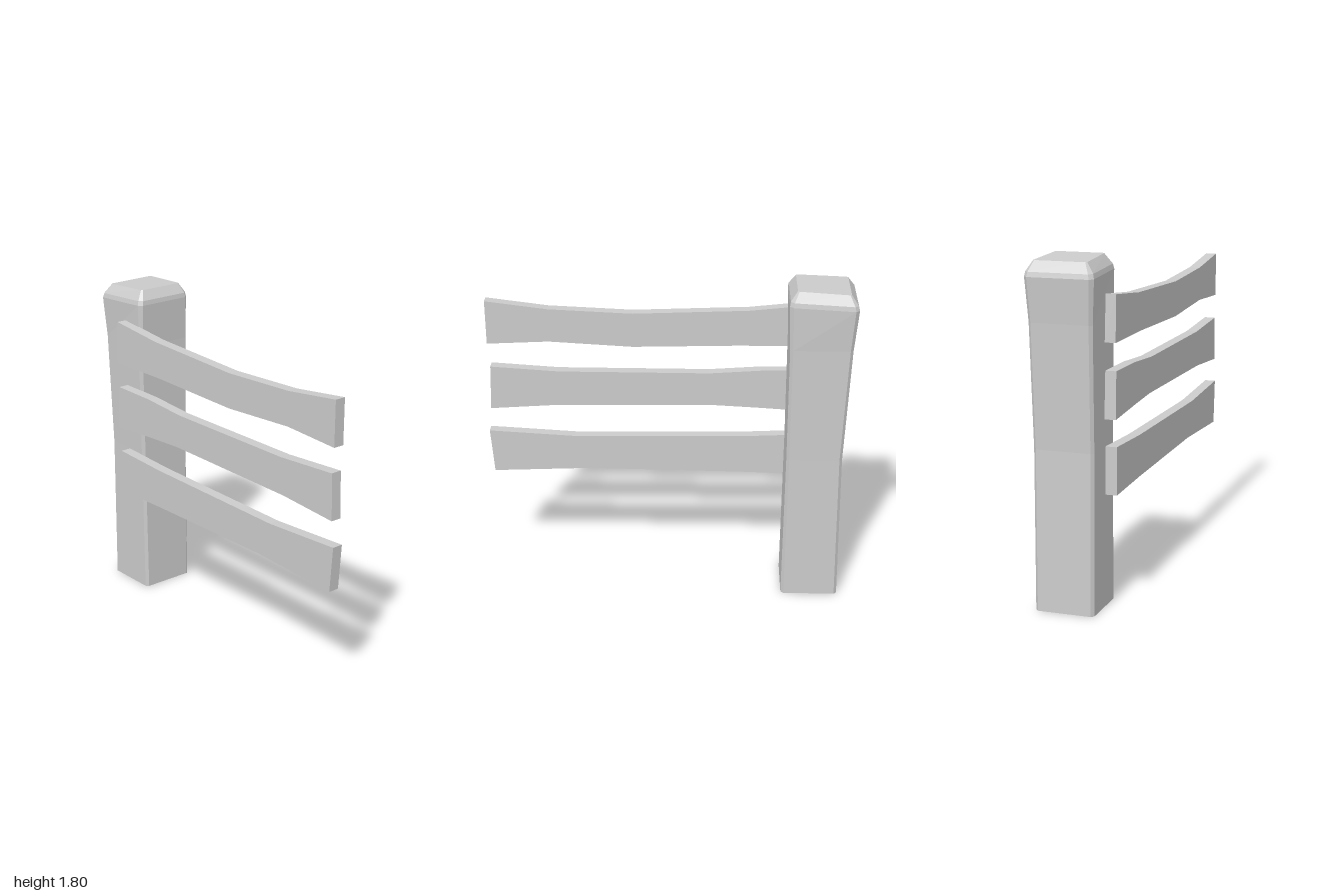
import * as THREE from 'three';

const wood = new THREE.MeshStandardMaterial({ color: 0xcccccc, flatShading: true });
// the post is a hollow shell, open underneath
const shell = new THREE.MeshStandardMaterial({ color: 0xcccccc, flatShading: true, side: THREE.DoubleSide });

// Post sections: height at left and right edge, x range, z range, corner chamfer
const SECTIONS = [
  { y: [0, 0], x: [-0.96, -0.647], z: [-0.175, 0.14], c: 0.015 },
  { y: [0.84, 0.84], x: [-0.952, -0.652], z: [-0.178, 0.141], c: 0.015 },
  { y: [1.48, 1.48], x: [-0.98, -0.65], z: [-0.187, 0.146], c: 0.016 },
  { y: [1.705, 1.72], x: [-1.0, -0.641], z: [-0.202, 0.16], c: 0.02 },
  { y: [1.73, 1.745], x: [-0.994, -0.645], z: [-0.197, 0.154], c: 0.02 },
  { y: [1.783, 1.797], x: [-0.957, -0.68], z: [-0.165, 0.115], c: 0.008 },
];

// Chamfered square ring, counter-clockwise from above; the back/front taper slightly to the right
function ring({ y, x: [x0, x1], z: [z0, z1], c }, taper) {
  const corners = [
    [x0, z1 - c], [x0 + c, z1], [x1 - c, z1], [x1, z1 - c],
    [x1, z0 + c], [x1 - c, z0], [x0 + c, z0], [x0, z0 + c],
  ];
  const mid = (z0 + z1) / 2;
  return corners.map(([x, z]) => {
    const t = (x - x0) / (x1 - x0);
    return [x, y[0] + (y[1] - y[0]) * t, mid + (z - mid) * (1 - taper * t)];
  });
}

function postGeometry() {
  const rings = SECTIONS.map((s, i) => ring(s, i > 2 ? 0.07 : 0));
  const n = rings[0].length;
  const index = [];
  for (let r = 0; r < rings.length - 1; r++) {
    for (let i = 0; i < n; i++) {
      const a = r * n + i, b = r * n + (i + 1) % n;
      index.push(a, b, b + n, a, b + n, a + n);
    }
  }
  // flat top
  const top = (rings.length - 1) * n;
  for (let i = 1; i < n - 1; i++) index.push(top, top + i, top + i + 1);
  const g = new THREE.BufferGeometry();
  g.setAttribute('position', new THREE.Float32BufferAttribute(rings.flat(2), 3));
  g.setIndex(index);
  const flat = g.toNonIndexed();
  flat.computeVertexNormals();
  return flat;
}

// Rail outlines: upper edge left to right, then lower edge right to left
const RAILS = {
  topRail: [
    [-0.785, 1.61], [-0.44, 1.573], [0.19, 1.548], [0.65, 1.568], [0.99, 1.61],
    [0.987, 1.363], [0.65, 1.38], [0.19, 1.355], [-0.4, 1.37], [-0.795, 1.37],
  ],
  middleRail: [
    [-0.785, 1.227], [-0.51, 1.223], [-0.23, 1.203], [0.6, 1.203], [0.975, 1.227],
    [0.982, 0.975], [0.62, 1.0], [-0.26, 1.012], [-0.5, 1.0], [-0.795, 0.982],
  ],
  bottomRail: [
    [-0.78, 0.84], [-0.42, 0.823], [0.52, 0.81], [0.997, 0.837],
    [0.977, 0.587], [0.435, 0.61], [-0.42, 0.6], [-0.78, 0.59],
  ],
};

export function createModel() {
  const fence = new THREE.Group();
  fence.name = 'fenceSection';

  const post = new THREE.Mesh(postGeometry(), shell);
  post.name = 'post';
  fence.add(post);

  // Rails fixed across the front of the post
  for (const [name, outline] of Object.entries(RAILS)) {
    const shape = new THREE.Shape(outline.map(([x, y]) => new THREE.Vector2(x, y)));
    const geometry = new THREE.ExtrudeGeometry(shape, { depth: 0.06, bevelEnabled: false });
    const rail = new THREE.Mesh(geometry, wood);
    rail.name = name;
    rail.position.z = 0.142;
    fence.add(rail);
  }
  return fence;
}
